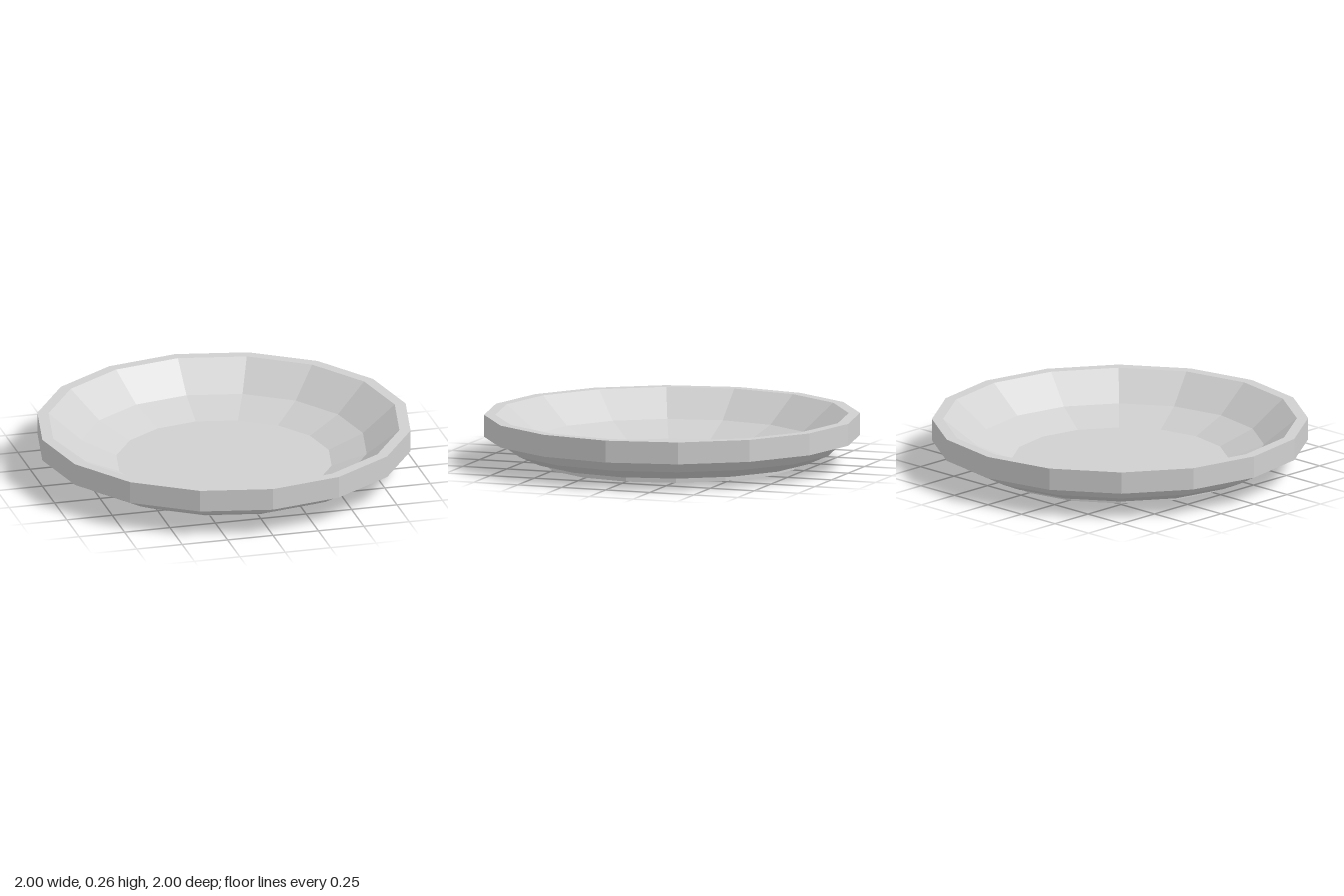
import * as THREE from 'three';

const SIDES = 16;

export function createModel() {
  const model = new THREE.Group();
  model.name = 'plate';

  const ceramic = new THREE.MeshStandardMaterial({ color: 0xd0d0d0, flatShading: true });
  ceramic.name = 'light grey ceramic';

  // Revolves a [radius, height] profile into a faceted ring of the plate
  function addRing(name, profile) {
    const points = profile.map(([r, y]) => new THREE.Vector2(r, y));
    const geometry = new THREE.LatheGeometry(points, SIDES).toNonIndexed();
    geometry.computeVertexNormals();
    const mesh = new THREE.Mesh(geometry, ceramic);
    mesh.name = name;
    model.add(mesh);
  }

  // Foot: recessed base, inner wall, standing ring and outer wall
  addRing('foot', [[0, 0.033], [0.577, 0.033], [0.577, 0], [0.69, 0], [0.69, 0.035]]);

  // Underside of the bowl, sloping out to the rim
  addRing('underside', [[0.69, 0.035], [0.77, 0.035], [0.887, 0.087], [0.94, 0.147]]);

  // Rim: lower ledge, outer band and flat lip
  addRing('rim', [[0.94, 0.147], [1, 0.147], [1, 0.265], [0.94, 0.265]]);

  // Inside of the bowl: two sloping bands and the flat floor
  addRing('bowl', [[0.94, 0.265], [0.765, 0.12], [0.577, 0.043], [0, 0.043]]);

  return model;
}
